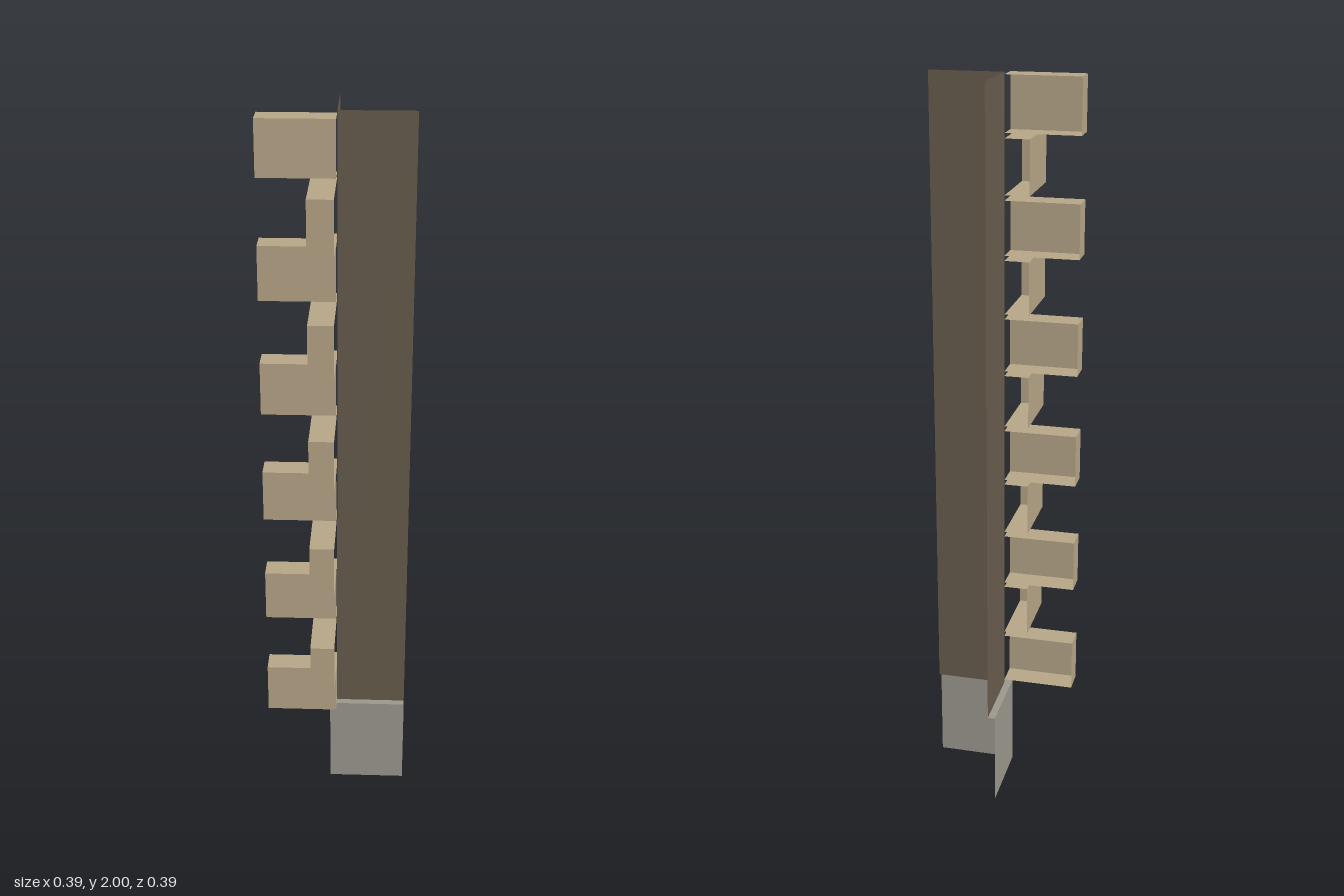
import * as THREE from 'three';
import { mergeGeometries } from 'three/addons/utils/BufferGeometryUtils.js';

const paint = (color) => new THREE.MeshStandardMaterial({ color, side: THREE.DoubleSide });

// Upright faces along a path of [x, z] points
function walls(path, y0, y1) {
  return path.slice(1).map(([x1, z1], i) => {
    const [x0, z0] = path[i];
    return new THREE.PlaneGeometry(Math.hypot(x1 - x0, z1 - z0), y1 - y0)
      .rotateY(Math.atan2(z0 - z1, x1 - x0))
      .translate((x0 + x1) / 2, (y0 + y1) / 2, (z0 + z1) / 2);
  });
}

// Level face with an outline of [x, z] points, facing up or down
function level(outline, y, up = true) {
  const s = up ? -1 : 1;
  const shape = new THREE.Shape(outline.map(([x, z]) => new THREE.Vector2(x, s * z)));
  return new THREE.ShapeGeometry(shape).rotateX(s * Math.PI / 2).translate(0, y, 0);
}

export function createModel() {
  const model = new THREE.Group();
  const reach = 0.197, lip = 0.02, baseTop = 0.265;

  const add = (name, parts, material) => {
    const mesh = new THREE.Mesh(mergeGeometries(parts), material);
    mesh.name = name;
    model.add(mesh);
  };

  // Two thin wall panels meeting at the corner
  const wallLine = [[0, -reach], [0, 0], [reach, 0]];
  add('wallPanels', walls(wallLine, baseTop, 2), paint(0x665a4c));

  // Plinth skin standing proud of the wall, with a ledge on top
  const plinthLine = [[-lip, -reach], [-lip, lip], [reach, lip]];
  add('plinth', [
    ...walls(plinthLine, 0, baseTop),
    level([...plinthLine, ...wallLine.slice().reverse()], baseTop),
  ], paint(0x99968c));

  // Corner stones with alternating long sides, open towards the wall corner
  const stone = paint(0xb5a486);
  const long = 0.198, short = 0.066, height = 0.144, pitch = 0.1575;
  for (let i = 0; i < 11; i++) {
    const [w, d] = i % 2 ? [short, long] : [long, short];
    const y0 = 0.275 + i * pitch, y1 = y0 + height;
    const line = [[-w, 0], [-w, d], [0, d]];
    add(`cornerStone${i + 1}`, [
      ...walls(line, y0, y1),
      level([...line, [0, 0]], y1),
      level([...line, [0, 0]], y0, false),
    ], stone);
  }
  return model;
}
